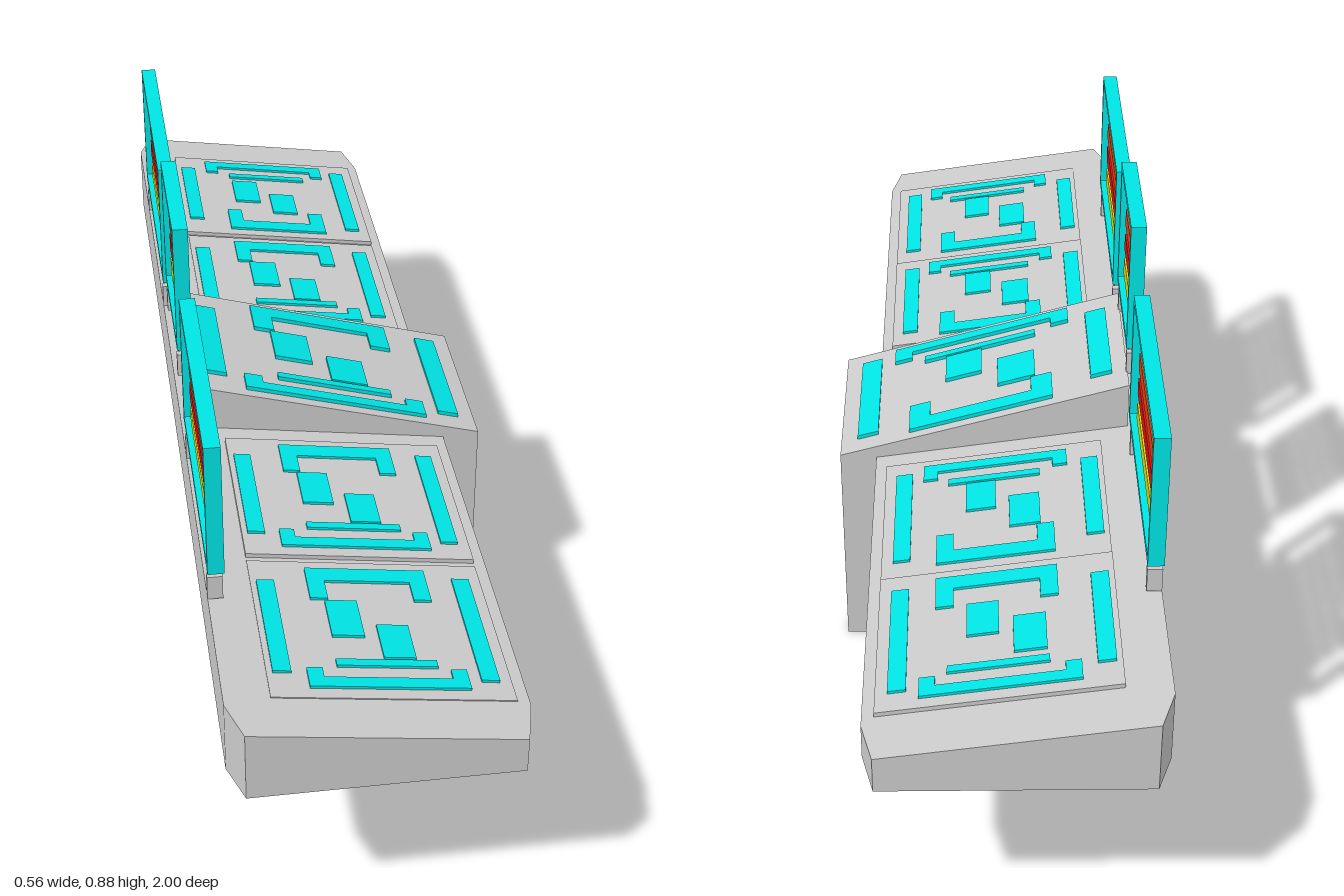
import * as THREE from 'three';

const mat = (color) => new THREE.MeshStandardMaterial({ color, flatShading: true });
const grey = mat(0xcccccc), cyan = mat(0x00e5e5);
const barColors = [mat(0x12d912), mat(0xe04510), mat(0xe01010), mat(0xe0d810)];

// Sloping tops of the long desk and of the centre console
const deskTop = (x) => 0.485 - (x + 0.28) * 0.143;
const centreTop = (x) => 0.57 - (x + 0.257) * 0.282;

function add(parent, name, geometry, material) {
  const mesh = new THREE.Mesh(geometry, material);
  mesh.name = name;
  parent.add(mesh);
  return mesh;
}

function box(parent, name, x0, x1, y0, y1, z0, z1, material = grey) {
  const mesh = add(parent, name, new THREE.BoxGeometry(x1 - x0, y1 - y0, z1 - z0), material);
  mesh.position.set((x0 + x1) / 2, (y0 + y1) / 2, (z0 + z1) / 2);
  return mesh;
}

const polygon = (pts) => new THREE.Shape(pts.map(([a, b]) => new THREE.Vector2(a, b)));
const rect = (x0, x1, z0, z1) => [[x0, z0], [x1, z0], [x1, z1], [x0, z1]];
const extrude = (shape, depth) => new THREE.ExtrudeGeometry(shape, { depth, bevelEnabled: false });

// Plan outline [x, z] raised between two height rules
function slab(parent, name, plan, top, bottom, material) {
  const g = extrude(polygon(plan), 1).rotateX(Math.PI / 2);
  const p = g.attributes.position;
  for (let i = 0; i < p.count; i++) {
    const x = p.getX(i);
    p.setY(i, p.getY(i) > -0.5 ? top(x) : bottom(x));
  }
  g.computeVertexNormals();
  return add(parent, name, g, material);
}

// Glowing control layout: side strips, two brackets, a line and two keys
function controls(parent, name, slope, lift, zc, sx, ox, flip) {
  const group = new THREE.Group();
  group.name = name;
  parent.add(group);
  const bracket = (x0, x1, zEdge, zBar, zArm, w) => [
    [x0, zEdge], [x1, zEdge], [x1, zArm], [x1 - w, zArm],
    [x1 - w, zBar], [x0 + w, zBar], [x0 + w, zArm], [x0, zArm]];
  const pieces = [
    ['leftStrip', rect(-0.195, -0.165, -0.115, 0.115)],
    ['rightStrip', rect(0.14, 0.17, -0.13, 0.13)],
    ['wideBracket', bracket(-0.14, 0.12, 0.15, 0.127, 0.105, 0.026)],
    ['narrowBracket', bracket(-0.11, 0.095, -0.15, -0.117, -0.07, 0.03)],
    ['line', rect(-0.09, 0.075, 0.083, 0.099)],
    ['key', rect(-0.087, -0.033, -0.065, 0.025)],
    ['key', rect(-0.01, 0.043, 0.018, 0.1).map(([x, z]) => [x, z - (flip ? 0.03 : 0.022)])],
  ];
  for (const [part, plan] of pieces) {
    const f = flip && part !== 'key' ? -1 : 1;
    slab(group, part, plan.map(([x, z]) => [x * sx + ox, zc + z * f]),
      (x) => slope(x) + lift, (x) => slope(x) - 0.004, cyan);
  }
}

// Upright display: open frame, four coloured bars and its support rail
function display(parent, name, zc, halfW, y0, railHalf, barHalf, footY) {
  const group = new THREE.Group();
  group.name = name;
  group.position.z = zc;
  parent.add(group);
  const h = 0.25, t = 0.012;
  const shape = polygon(rect(-halfW, halfW, 0, h));
  shape.holes.push(new THREE.Path(
    rect(-halfW + t, halfW - t, t, h - t).reverse().map(([a, b]) => new THREE.Vector2(a, b))));
  add(group, 'frame', extrude(shape, 0.028).rotateY(Math.PI / 2), cyan)
    .position.set(-0.28, y0, 0);
  barColors.forEach((m, i) => {
    const y = y0 + 0.202 - i * 0.052;
    box(group, 'displayBar', -0.271, -0.261, y - 0.016, y + 0.016, -barHalf, barHalf, m);
  });
  box(group, 'rail', -0.275, -0.26, footY + 0.02, footY + 0.035, -railHalf, railHalf);
  for (const s of [-1, 1]) {
    const z = s * railHalf;
    box(group, 'railPost', -0.28, -0.254, footY, footY + 0.045, z - 0.007, z + 0.007);
  }
}

export function createModel() {
  const model = new THREE.Group();
  model.name = 'controlConsole';

  // Long desk with clipped corners
  slab(model, 'desk', [[-0.28, -0.93], [-0.255, -1], [0.19, -1], [0.21, -0.92],
    [0.21, 0.92], [0.19, 1], [-0.255, 1], [-0.28, 0.93]], deskTop, () => 0.352, grey);

  // Desk panels: [centre z, plate lift, mirrored layout]
  for (const [zc, lift, flip] of [[-0.73, 0.008, true], [-0.38, 0.002, false],
    [0.385, 0.008, false], [0.74, 0.002, false]]) {
    slab(model, 'deskPanel', rect(-0.205, 0.19, zc - 0.172, zc + 0.172),
      (x) => deskTop(x) + lift, (x) => deskTop(x) - 0.01, grey);
    controls(model, 'deskControls', deskTop, lift + 0.005, zc, 1, 0, flip);
  }

  // Centre console, side profile extruded across its width
  const body = extrude(polygon([[-0.257, 0.27], [-0.155, 0.27], [-0.155, 0], [0.185, 0],
    [0.185, 0.27], [0.277, 0.27], [0.277, 0.42], [-0.257, 0.57]]), 0.34);
  add(model, 'centreConsole', body.translate(0, 0, -0.17), grey);
  controls(model, 'centreControls', centreTop, 0.008, 0, 1.3, 0.025, false);

  // Stepped alcove in the centre column
  for (const s of [-1, 1]) {
    const span = (a, b) => (s > 0 ? [a, b] : [-b, -a]);
    box(model, 'outerLeg', 0.23, 0.277, 0, 0.27, ...span(0.13, 0.17));
    box(model, 'innerLeg', 0.185, 0.23, 0, 0.27, ...span(0.09, 0.17));
  }
  box(model, 'alcoveLintel', 0.185, 0.23, 0.145, 0.27, -0.09, 0.09);

  // Notched pedestal
  const half = [[0.44, 0], [0.44, 0.12], [0.37, 0.19], [0.52, 0.34], [0.52, 0.354]];
  const mirrored = half.map(([z, y]) => [-z, y]).reverse();
  add(model, 'pedestal', extrude(polygon([...half, ...mirrored]), 0.247).rotateY(Math.PI / 2), grey)
    .position.x = -0.157;

  // Displays along the back edge
  for (const s of [-1, 1]) display(model, 'sideDisplay', s * 0.465, 0.225, 0.55, 0.2, 0.17, 0.485);
  display(model, 'centreDisplay', 0, 0.13, 0.625, 0.115, 0.1, 0.565);

  return model;
}
